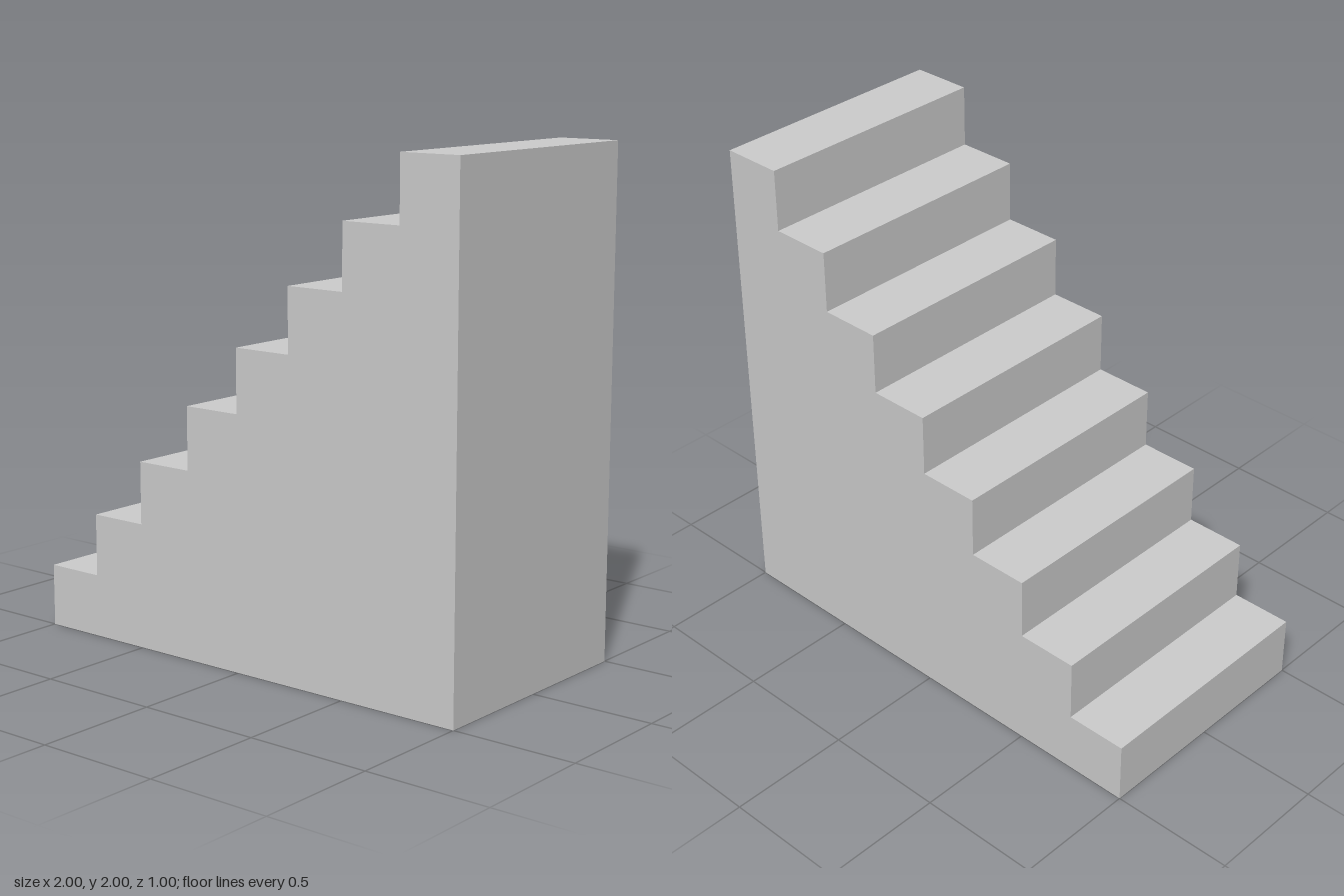
import * as THREE from 'three';

const STEPS = 8;
const TREAD = 0.25;
const RISER = 0.25;
const WIDTH = 1;

export function createModel() {
  const group = new THREE.Group();
  group.name = 'staircase';

  // Stepped side profile, climbing towards +x
  const half = (STEPS * TREAD) / 2;
  const profile = new THREE.Shape();
  profile.moveTo(half, STEPS * RISER);
  profile.lineTo(half, 0);
  profile.lineTo(-half, 0);
  for (let i = 0; i < STEPS; i++) {
    const x = -half + i * TREAD;
    const y = (i + 1) * RISER;
    profile.lineTo(x, y);
    if (i < STEPS - 1) profile.lineTo(x + TREAD, y);
  }
  profile.closePath();

  // Solid flight of steps, extruded across its width
  const geometry = new THREE.ExtrudeGeometry(profile, { depth: WIDTH, bevelEnabled: false });
  geometry.translate(0, 0, -WIDTH / 2);
  const material = new THREE.MeshStandardMaterial({ color: 0xcccccc, flatShading: true });
  const steps = new THREE.Mesh(geometry, material);
  steps.name = 'steps';
  group.add(steps);

  return group;
}
